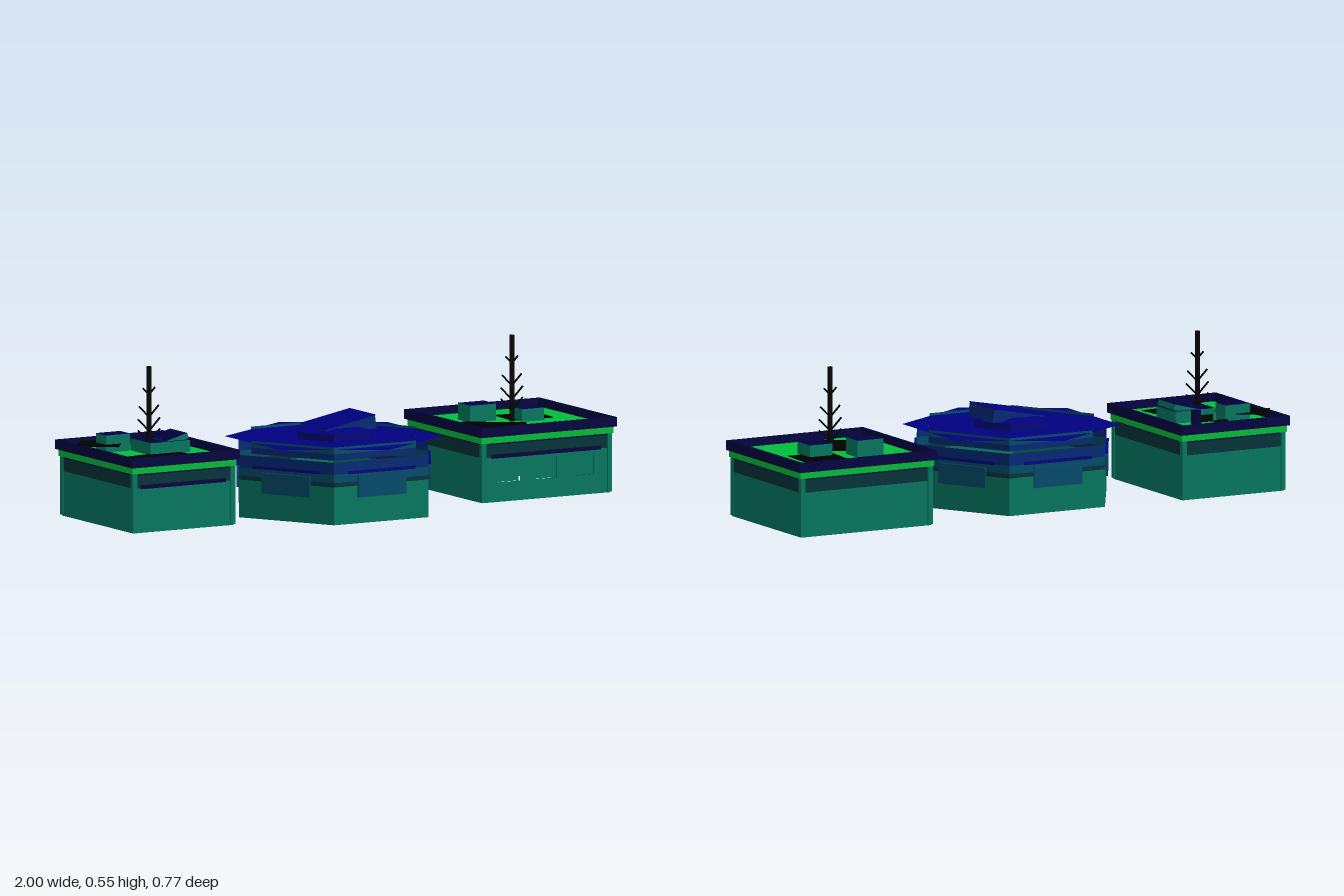
import * as THREE from 'three';

const mat = (name, color) => new THREE.MeshStandardMaterial({ name, color, flatShading: true, side: THREE.DoubleSide });
const M = {
  teal: mat('teal wall', 0x007a62),
  band: mat('dark teal band', 0x00343a),
  green: mat('roof green', 0x00c03c),
  navy: mat('parapet navy', 0x000040),
  roof: mat('roof blue', 0x000080),
  steel: mat('blue teal', 0x004c6c),
  blue: mat('mid blue', 0x002a78),
  black: mat('black', 0x000000),
};
// Box faces: teal sides under a navy top
const CAPPED = [M.teal, M.teal, M.navy, M.teal, M.teal, M.teal];

function add(parent, name, geo, material, x = 0, y = 0, z = 0) {
  const m = new THREE.Mesh(geo, material);
  m.name = name;
  m.position.set(x, y, z);
  parent.add(m);
  return m;
}
const box = (p, name, material, w, h, d, x, y, z) =>
  add(p, name, new THREE.BoxGeometry(w, h, d), material, x, y, z);

// Four thin walls around a rectangle, from y0 to y1
function ring(p, name, material, w, d, y0, y1, t, skipFront = false) {
  const h = y1 - y0, y = (y0 + y1) / 2;
  for (const s of [-1, 1]) {
    box(p, name, material, t, h, d, s * (w - t) / 2, y, 0);
    if (!(skipFront && s > 0)) box(p, name, material, w - 2 * t, h, t, 0, y, s * (d - t) / 2);
  }
}

// Mast with upswept arms
function antenna(p) {
  const g = new THREE.Group();
  g.name = 'antenna';
  box(g, 'mast', M.black, 0.013, 0.31, 0.013, 0, 0.396, 0);
  for (const [y, r] of [[0.45, 0.025], [0.37, 0.04], [0.32, 0.045], [0.28, 0.045]]) {
    for (const s of [-1, 1]) {
      const arm = box(g, 'antennaArm', M.black, 0.005, r * 1.4, 0.005, s * r / 2, y + r / 2, 0);
      arm.rotation.z = -s * Math.PI / 4;
    }
  }
  g.position.z = 0.01;
  p.add(g);
}

// Box-shaped building with open top parapet
function building(name, x, w, hasWindows) {
  const g = new THREE.Group(), d = 0.5;
  g.name = name;
  g.position.set(x, 0, -0.105);
  ring(g, 'wall', M.teal, w, d, 0, 0.16, 0.006, hasWindows);
  ring(g, 'upperBand', M.band, w, d, 0.16, 0.206, 0.006);
  ring(g, 'shadowStrip', M.navy, w, d, 0.206, 0.212, 0.006);
  ring(g, 'ledge', M.green, w + 0.015, d + 0.02, 0.212, 0.236, 0.02);
  ring(g, 'parapet', M.navy, w + 0.03, d + 0.04, 0.236, 0.27, 0.016);
  box(g, 'roofDeck', M.green, w + 0.01, 0.008, d + 0.01, 0, 0.238, 0);
  box(g, 'frontStripe', M.navy, w * 0.85, 0.014, 0.004, 0, 0.163, d / 2);
  for (const sx of [-1, 1]) for (const sz of [-1, 1])
    box(g, 'cornerPost', M.teal, 0.018, 0.208, 0.018, sx * (w / 2 - 0.005), 0.108, sz * (d / 2 - 0.002));
  if (hasWindows) {
    // Front wall with three openings and panes set back behind them
    const s = new THREE.Shape();
    s.moveTo(-w / 2, 0).lineTo(w / 2, 0).lineTo(w / 2, 0.16).lineTo(-w / 2, 0.16);
    for (const cx of [-0.152, 0, 0.152]) {
      const h = new THREE.Path();
      h.moveTo(cx - 0.045, 0.07).lineTo(cx - 0.045, 0.146).lineTo(cx + 0.045, 0.146).lineTo(cx + 0.045, 0.07);
      s.holes.push(h);
      box(g, 'windowPane', M.teal, 0.092, 0.078, 0.002, cx, 0.108, d / 2 - 0.012);
    }
    add(g, 'frontWall', new THREE.ShapeGeometry(s), M.teal, 0, 0, d / 2);
  } else {
    box(g, 'floor', M.navy, w - 0.01, 0.004, d - 0.01, 0, 0.002, 0);
  }
  antenna(g);
  return g;
}

// Dark roof patch, given in model coordinates
function patch(p, x, z, w, d, turn, y = 0.244) {
  box(p, 'roofPatch', M.black, w, 0.002, d, x, y, z).rotation.y = turn;
}

const hexWall = (r, h) => new THREE.CylinderGeometry(r, r, h, 6, 1, true).rotateY(Math.PI / 6);

function hall() {
  const g = new THREE.Group();
  g.name = 'hexagonalHall';
  g.position.x = -0.065;
  // Wall courses [name, material, radius, bottom, top]: outer wall, then the inner drum
  const courses = [
    ['lowerWall', M.teal, 0.386, 0, 0.135],
    ['wallBand', M.band, 0.386, 0.135, 0.15],
    ['middleWall', M.steel, 0.386, 0.15, 0.18],
    ['upperWall', M.blue, 0.386, 0.18, 0.223],
    ['drumBase', M.blue, 0.335, 0.223, 0.245],
    ['drumTop', M.steel, 0.335, 0.245, 0.27],
  ];
  for (const [name, m, r, y0, y1] of courses) add(g, name, hexWall(r, y1 - y0), m, 0, (y0 + y1) / 2, 0);
  // A window and lintel on each face
  for (let i = 0; i < 6; i++) {
    const f = new THREE.Group();
    f.name = 'wallFace';
    f.rotation.y = i * Math.PI / 3;
    box(f, 'window', M.steel, 0.194, 0.074, 0.008, 0, 0.13, 0.339);
    box(f, 'lintel', M.roof, 0.27, 0.01, 0.008, 0, 0.184, 0.339);
    g.add(f);
  }
  // Flat roof sheet turned against the drum
  add(g, 'roofSheet', new THREE.CircleGeometry(0.385, 6).rotateX(-Math.PI / 2).rotateY(Math.PI / 6), M.roof, 0, 0.261, 0);
  // Low cap: short rim with a sloping top
  add(g, 'capRim', hexWall(0.15, 0.027), M.roof, 0, 0.2745, 0);
  add(g, 'capTop', new THREE.CylinderGeometry(0.1, 0.15, 0.014, 6).rotateY(Math.PI / 6), M.roof, 0, 0.295, 0);
  // Skylight wedge under a sloping lid
  const s = new THREE.Shape();
  s.moveTo(-0.08, 0.29).lineTo(0.125, 0.29).lineTo(0.118, 0.337).lineTo(-0.08, 0.3);
  add(g, 'skylight', new THREE.ExtrudeGeometry(s, { depth: 0.178, bevelEnabled: false }), M.blue, 0, 0, -0.09);
  box(g, 'skylightLid', M.roof, 0.205, 0.003, 0.18, 0.019, 0.3205, -0.001).rotation.z = Math.atan2(0.037, 0.198);
  return g;
}

export function createModel() {
  const root = new THREE.Group();
  root.name = 'buildingGroup';
  root.add(building('rightBuilding', -0.765, 0.41, false));
  root.add(building('leftBuilding', 0.72, 0.525, true));
  root.add(hall());

  // Roof patches and service boxes
  patch(root, -0.9, -0.21, 0.15, 0.13, -0.65, 0.269);
  patch(root, -0.77, 0.03, 0.22, 0.17, 0.14);
  patch(root, 0.595, -0.01, 0.23, 0.21, -0.55);
  patch(root, 0.81, -0.165, 0.165, 0.14, -0.05);
  const units = [
    [-0.845, -0.21, 0.1, 0.07, 0.303], [-0.71, -0.11, 0.16, 0.14, 0.285],
    [0.63, -0.185, 0.105, 0.085, 0.302], [0.79, -0.11, 0.09, 0.09, 0.287],
  ];
  for (const [x, z, w, d, top] of units) {
    const h = top - 0.242;
    box(root, 'serviceBox', CAPPED, w, h, d, x, 0.242 + h / 2, z);
  }
  box(root, 'tiltedUnit', CAPPED, 0.09, 0.02, 0.12, -0.675, 0.288, -0.11).rotation.z = 0.25;
  add(root, 'ventPipe', new THREE.CylinderGeometry(0.018, 0.018, 0.05, 8), M.navy, -0.69, 0.265, -0.22);
  for (const z of [-0.31, -0.2]) box(root, 'roofRail', M.black, 0.055, 0.025, 0.006, -0.74, 0.255, z);
  return root;
}
